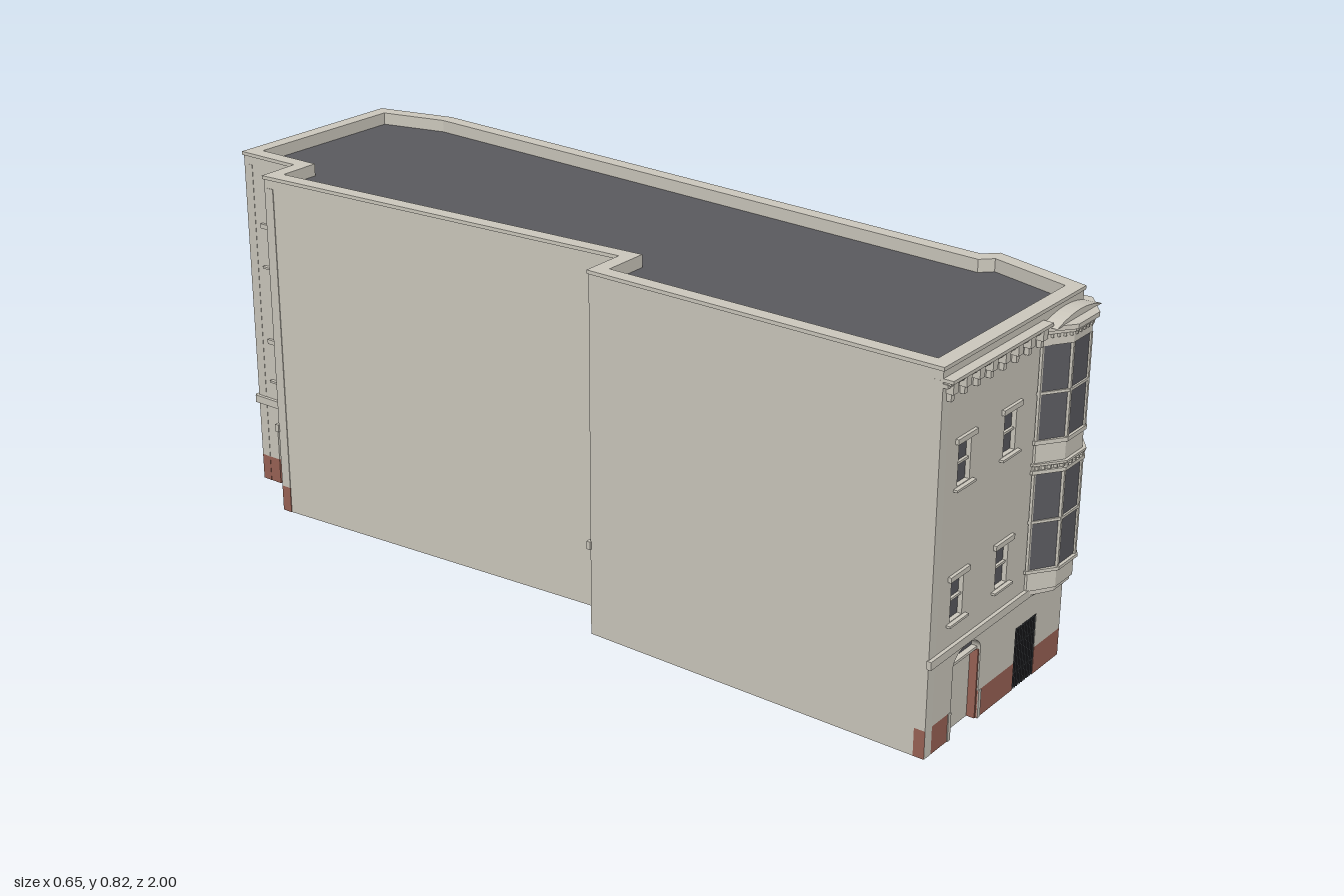
import * as THREE from 'three';

const mat = (name, color, side = THREE.FrontSide) => {
  const m = new THREE.MeshStandardMaterial({ color, side });
  m.name = name;
  return m;
};

export function createModel() {
  const stone = mat('stone', 0xcdc9be, THREE.DoubleSide);
  const red = mat('red base', 0x9a6356);
  const roofGrey = mat('roof grey', 0x5b5b5f, THREE.DoubleSide);
  const glass = mat('glass', 0x5a5a5f);
  const iron = mat('iron', 0x35373b);

  const model = new THREE.Group();
  model.name = 'cornerBuilding';
  const T = 0.025, BASE = 0.062, EAVES = 0.79, TOP = 0.818;

  // Footprint corners (x, z), from the front left round the right side to the back
  const plan = [
    [-0.325, 0.945], [0.205, 0.945], [0.268, 0.72], [0.24, 0.692], [0.315, -0.8], [0.27, -0.98],
    [-0.175, -0.995], [-0.175, -0.83], [-0.275, -0.83], [-0.21, 0.12], [-0.315, 0.12],
  ];

  const add = (parent, name, geo, material) => {
    const m = new THREE.Mesh(geo, material);
    m.name = name;
    parent.add(m);
    return m;
  };
  const box = (parent, name, material, w, h, d, x, y, z) => {
    const m = add(parent, name, new THREE.BoxGeometry(w, h, d), material);
    m.position.set(x, y, z);
    return m;
  };
  const rect = (path, x0, y0, x1, y1) =>
    path.moveTo(x0, y0).lineTo(x0, y1).lineTo(x1, y1).lineTo(x1, y0).closePath();
  const planPoints = (pts) => pts.map(([x, z]) => new THREE.Vector2(x, -z));
  const upright = (shape, y0, y1) =>
    new THREE.ExtrudeGeometry(shape, { depth: y1 - y0, bevelEnabled: false })
      .rotateX(-Math.PI / 2).translate(0, y0, 0);

  // Mitred inward offset of a footprint
  const inset = (pts, k) => pts.map((p, i) => {
    const normal = (a, b) => {
      const l = Math.hypot(b[0] - a[0], b[1] - a[1]);
      return [-(b[1] - a[1]) / l, (b[0] - a[0]) / l];
    };
    const a = normal(pts[(i + pts.length - 1) % pts.length], p);
    const b = normal(p, pts[(i + 1) % pts.length]);
    const s = k / (1 + a[0] * b[0] + a[1] * b[1]);
    return [p[0] - (a[0] + b[0]) * s, p[1] - (a[1] + b[1]) * s];
  });

  // Sash window with glass, meeting rail, sill and lintel
  function sash(g, x, y) {
    const w = 0.045, h = 0.087;
    box(g, 'windowGlass', glass, w, h, 0.004, x, y + h / 2, -0.012);
    box(g, 'meetingRail', stone, w, 0.005, 0.008, x, y + h / 2, -0.008);
    box(g, 'windowSill', stone, 0.07, 0.005, 0.012, x, y - 0.004, 0.003);
    box(g, 'windowLintel', stone, 0.072, 0.011, 0.01, x, y + h + 0.009, 0.002);
  }

  // One wall between two corners; local x runs along it and +z faces outwards
  function wall(i, { sashes = [], vents = [], doors = [], plain = false }) {
    const a = plan[i], b = plan[(i + 1) % plan.length];
    const dx = b[0] - a[0], dz = b[1] - a[1], L = Math.hypot(dx, dz);
    const g = new THREE.Group();
    g.name = 'wall';
    g.position.set(a[0], 0, a[1]);
    g.rotation.y = Math.atan2(-dz, dx);
    model.add(g);

    const foot = plain ? 0 : BASE;
    const shape = new THREE.Shape().moveTo(0, foot);
    let from = 0;
    for (const d of doors) {
      const x0 = d.x - d.w / 2, x1 = d.x + d.w / 2;
      shape.lineTo(x0, foot).lineTo(x0, d.h);
      if (d.rise) shape.absellipse(d.x, d.h, d.w / 2, d.rise, Math.PI, 0, true);
      shape.lineTo(x1, d.h).lineTo(x1, foot);
      box(g, 'redBase', red, x0 - from, BASE, T, (from + x0) / 2, BASE / 2, -T / 2);
      from = x1;
      box(g, 'doorLeaf', d.dark ? glass : stone, d.w, d.h, 0.004, d.x, d.h / 2, 0.002 - T);
    }
    if (!plain) box(g, 'redBase', red, L - from, BASE, T, (from + L) / 2, BASE / 2, -T / 2);
    shape.lineTo(L, foot).lineTo(L, EAVES).lineTo(0, EAVES).closePath();

    const hole = (x0, y0, x1, y1) => shape.holes.push(rect(new THREE.Path(), x0, y0, x1, y1));
    for (const x of sashes) for (const y of [0.269, 0.554]) {
      hole(x - 0.0225, y, x + 0.0225, y + 0.087);
      sash(g, x, y);
    }
    for (const x of vents) {
      hole(x - 0.0275, 0.125, x + 0.0275, 0.187);
      box(g, 'lowWindowGlass', glass, 0.055, 0.062, 0.004, x, 0.156, -0.012);
      box(g, 'lowWindowSill', stone, 0.066, 0.005, 0.01, x, 0.122, 0.002);
    }
    add(g, 'wallFace', new THREE.ExtrudeGeometry(shape, { depth: T, bevelEnabled: false, curveSegments: 16 })
      .translate(0, 0, -T), stone);

    // String course above the ground floor
    if (!plain) {
      box(g, 'stringCourse', stone, L + 0.008, 0.018, 0.01, L / 2, 0.208, 0.003);
    }
    return g;
  }

  const along = (list) => list.map((z) => (0.692 - z) * 1.0013);
  const front = wall(0, {
    sashes: [0.093, 0.263],
    doors: [{ x: 0.147, w: 0.105, h: 0.157, rise: 0.034 }, { x: 0.382, w: 0.085, h: 0.14, dark: true }],
  });
  wall(1, { sashes: [0.114], doors: [{ x: 0.118, w: 0.056, h: 0.14 }, { x: 0.21, w: 0.026, h: 0.136, dark: true }] });
  wall(2, {});
  wall(3, {
    sashes: along([0.575, 0.435, 0.3, 0.165, 0.02, -0.115, -0.25, -0.385, -0.525, -0.66]),
    vents: along([0.575, 0.435, 0.3, 0.165, -0.25, -0.385, -0.525, -0.66]),
    doors: [{ x: 0.738, w: 0.06, h: 0.14 }],
  });
  wall(4, { sashes: [0.088], doors: [{ x: 0.088, w: 0.056, h: 0.14 }] });
  wall(5, { sashes: [0.14, 0.302], doors: [{ x: 0.222, w: 0.06, h: 0.14 }] });
  wall(6, { sashes: [0.083], doors: [{ x: 0.083, w: 0.055, h: 0.14 }] });
  wall(7, { doors: [{ x: 0.032, w: 0.04, h: 0.14, dark: true }] });
  wall(8, { plain: true });
  wall(9, { doors: [{ x: 0.05, w: 0.055, h: 0.14, dark: true }] });
  wall(10, { plain: true });

  // Roof and parapet
  const inner = inset(plan, 0.03);
  const roof = new THREE.Shape(planPoints(inset(plan, 0.015)));
  add(model, 'roof', new THREE.ShapeGeometry(roof).rotateX(-Math.PI / 2).translate(0, EAVES, 0), roofGrey);
  const ring = new THREE.Shape(planPoints(plan));
  ring.holes.push(new THREE.Path(planPoints(inner)));
  add(model, 'parapet', upright(ring, EAVES, TOP), stone);
  const coping = new THREE.Shape(planPoints(inset(plan, -0.003)));
  coping.holes.push(new THREE.Path(planPoints(inner)));
  add(model, 'coping', upright(coping, TOP - 0.008, TOP), stone);

  // Arched entrance: fanlight, red jambs and stone surround
  const fan = new THREE.Shape().moveTo(-0.0525, 0).absellipse(0, 0, 0.0525, 0.034, Math.PI, 0, true).closePath();
  add(front, 'fanlight', new THREE.ShapeGeometry(fan, 16).translate(0.147, 0.157, -0.02), glass);
  box(front, 'doorTransom', stone, 0.105, 0.006, 0.012, 0.147, 0.157, -0.014);
  for (const s of [-1, 1]) {
    box(front, 'redJamb', red, 0.004, 0.154, 0.018, 0.147 + s * 0.0505, 0.077, -0.012);
    box(front, 'doorSurround', stone, 0.01, BASE, 0.006, 0.147 + s * 0.0575, BASE / 2, -0.001);
  }

  // Iron gate
  for (let k = 0; k <= 12; k++) {
    box(front, 'gateBar', iron, 0.0022, 0.14, 0.003, 0.341 + k * 0.0068, 0.07, -0.002);
  }
  for (const y of [0.004, 0.036, 0.1, 0.136]) box(front, 'gateRail', iron, 0.085, 0.004, 0.004, 0.382, y, -0.003);
  for (const y of [0.03, 0.105]) box(front, 'gateGlassRail', stone, 0.085, 0.004, 0.004, 0.382, y, -0.016);
  box(front, 'gateMullion', stone, 0.004, 0.138, 0.004, 0.382, 0.07, -0.016);

  // Bracketed front cornice
  box(front, 'corniceShelf', stone, 0.37, 0.007, 0.022, 0.185, 0.791, 0.011);
  box(front, 'corniceFrieze', stone, 0.37, 0.008, 0.01, 0.185, 0.78, 0.005);
  for (let k = 0; k < 8; k++) {
    const x = 0.02 + k * 0.0475;
    box(front, 'corniceBracket', stone, 0.018, 0.022, 0.016, x, 0.773, 0.008);
    box(front, 'bracketDrop', stone, 0.011, 0.02, 0.01, x, 0.756, 0.005);
  }
  for (let k = 0; k < 32; k++) box(front, 'corniceDentil', stone, 0.006, 0.006, 0.016, 0.006 + k * 0.0117, 0.785, 0.008);

  // Two-storey bay window made of stacked three-sided prisms
  const bay = new THREE.Group();
  bay.name = 'bayWindow';
  model.add(bay);
  const bayPlan = (g) => [
    [0.036 - g, 0.93], [0.036 - g, 0.95], [0.093 - g * 0.5, 0.988 + g],
    [0.167 + g * 0.5, 0.988 + g], [0.224 + g, 0.95], [0.224 + g, 0.93],
  ];
  const tier = (name, y0, y1, g, m = stone) =>
    add(bay, name, upright(new THREE.Shape(planPoints(bayPlan(g))), y0, y1), m);
  tier('bayCorbel', 0.195, 0.204, -0.03);
  tier('bayCorbel', 0.204, 0.215, -0.008);
  tier('bayApron', 0.215, 0.256, -0.003);
  tier('baySill', 0.256, 0.263, 0.004);
  tier('baySpandrel', 0.474, 0.545, -0.002);
  tier('baySpandrelMoulding', 0.474, 0.482, 0.004);
  tier('baySpandrelMoulding', 0.492, 0.497, 0.005);
  tier('baySill', 0.537, 0.546, 0.003);
  tier('bayFrieze', 0.744, 0.768, 0);
  tier('bayCornice', 0.768, 0.776, 0.004);
  tier('bayCornice', 0.776, 0.786, 0.011);
  for (const [y0, y1] of [[0.263, 0.474], [0.546, 0.744]]) {
    const mid = (y0 + y1) / 2;
    tier('bayGlass', y0, y1, -0.003, glass);
    tier('bayTransom', mid - 0.003, mid + 0.003, 0.001);
    for (const [x, z] of bayPlan(-0.002).slice(1, 5)) box(bay, 'bayMullion', stone, 0.006, y1 - y0, 0.006, x, mid, z);
  }
  for (const y of [0.487, 0.764]) {
    for (let k = 0; k < 5; k++) {
      box(bay, 'bayDentil', stone, 0.005, 0.007, 0.008, 0.1 + k * 0.015, y, 0.988);
      for (const s of [-1, 1]) {
        const t = (k + 0.5) / 5;
        box(bay, 'bayDentil', stone, 0.005, 0.007, 0.008, 0.13 + s * (0.094 - t * 0.057), y, 0.95 + t * 0.038);
      }
    }
  }
  // Shallow curved crown over the bay
  const crown = new THREE.Shape().moveTo(0.04, 0.784).quadraticCurveTo(0.13, 0.815, 0.22, 0.784).closePath();
  add(bay, 'bayCrown', new THREE.ExtrudeGeometry(crown, { depth: 0.035, bevelEnabled: false, curveSegments: 12 })
    .translate(0, 0, 0.943), stone);

  return model;
}
